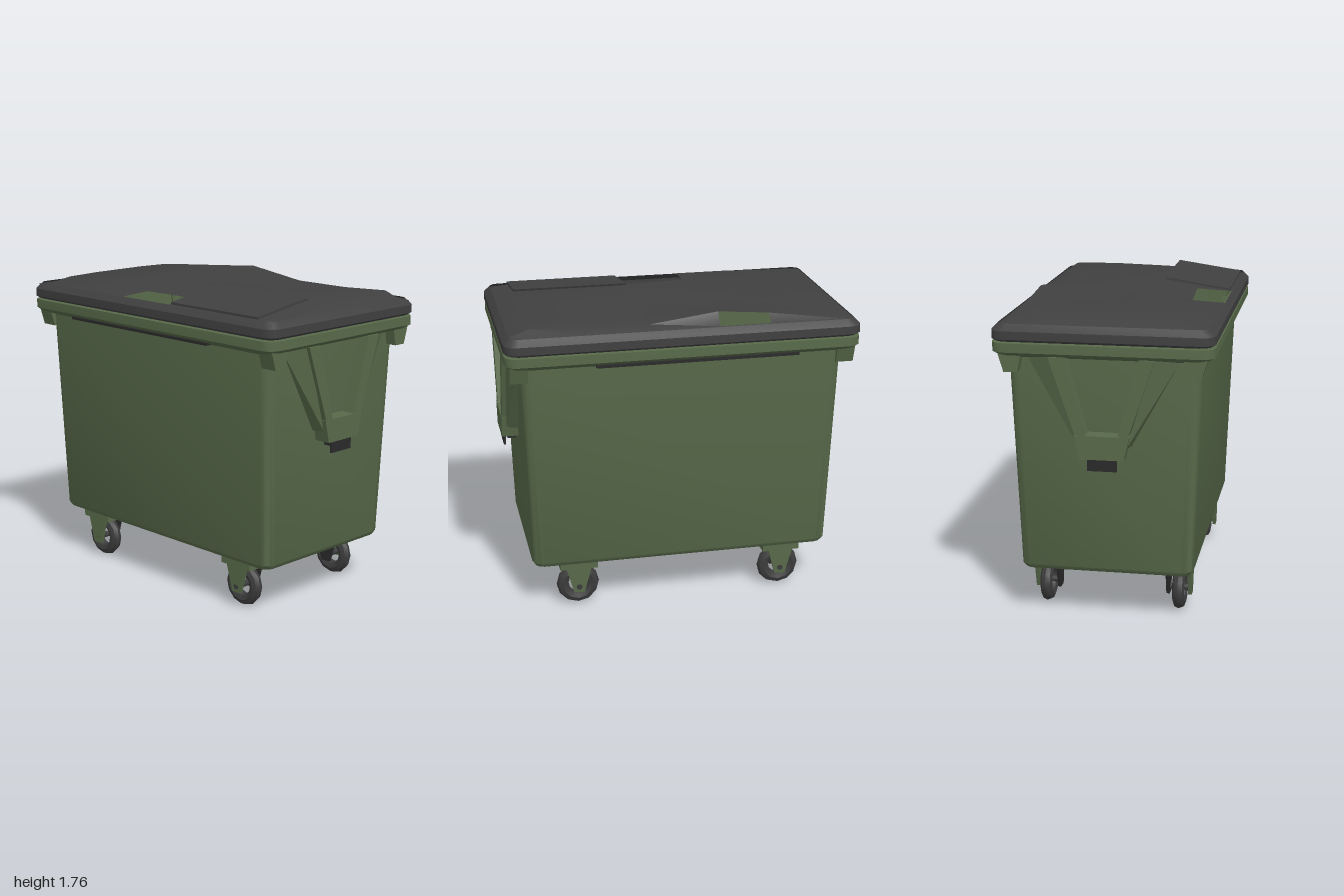
import * as THREE from 'three';
import { toCreasedNormals } from 'three/addons/utils/BufferGeometryUtils.js';

const mat = (name, color, side = THREE.FrontSide) => {
  const m = new THREE.MeshStandardMaterial({ color, side });
  m.name = name;
  return m;
};

// Rounded rectangle ring, counterclockwise from above
function ring(hx, hz, y, r, seg = 3) {
  const pts = [];
  [[1, -1], [-1, -1], [-1, 1], [1, 1]].forEach(([sx, sz], q) => {
    for (let i = 0; i <= seg; i++) {
      const a = (q + i / seg) * Math.PI / 2;
      pts.push([sx * (hx - r) + r * Math.cos(a), y, sz * (hz - r) - r * Math.sin(a)]);
    }
  });
  return pts;
}

// Skin over stacked rings, with optional flat ends
function loft(rings, capStart, capEnd) {
  const n = rings[0].length, pos = rings.flat(2), idx = [];
  for (let j = 0; j < rings.length - 1; j++) {
    for (let i = 0; i < n; i++) {
      const a = j * n + i, b = j * n + (i + 1) % n;
      idx.push(a, b, a + n, b, b + n, a + n);
    }
  }
  const e = (rings.length - 1) * n;
  for (let i = 1; i < n - 1; i++) {
    if (capStart) idx.push(0, i + 1, i);
    if (capEnd) idx.push(e, e + i, e + i + 1);
  }
  return surface(pos, idx);
}

function surface(pos, idx, crease = 0.6) {
  const g = new THREE.BufferGeometry();
  g.setAttribute('position', new THREE.Float32BufferAttribute(pos, 3));
  g.setIndex(idx);
  return toCreasedNormals(g, crease);
}

// Outline in the xy plane, extruded from z0 to z1
function slab(points, z0, z1) {
  const s = new THREE.Shape(points.map(p => new THREE.Vector2(...p)));
  return new THREE.ExtrudeGeometry(s, { depth: z1 - z0, bevelEnabled: false }).translate(0, 0, z0);
}

export function createModel() {
  const root = new THREE.Group();
  root.name = 'wasteContainer';
  const green = mat('green plastic', 0x586a4a);
  const greenSheet = mat('green sheet', 0x586a4a, THREE.DoubleSide);
  const lidMat = mat('dark grey lid', 0x404040, THREE.DoubleSide);
  const rubber = mat('dark rubber', 0x3c3c3d);
  const black = mat('black fittings', 0x2a2a2a);

  const add = (parent, name, geo, material, x = 0, y = 0, z = 0) => {
    const m = new THREE.Mesh(geo, material);
    m.name = name;
    m.position.set(x, y, z);
    parent.add(m);
    return m;
  };
  const box = (w, h, d) => new THREE.BoxGeometry(w, h, d);

  // Hollow tapered tub with a flared rim
  add(root, 'tub', loft([
    ring(0.465, 0.855, 0.285, 0.05), ring(0.482, 0.872, 0.31, 0.06),
    ring(0.525, 0.908, 1.5, 0.06), ring(0.57, 0.97, 1.52, 0.06),
    ring(0.598, 0.997, 1.54, 0.07), ring(0.598, 0.997, 1.59, 0.07),
    ring(0.505, 0.885, 1.592, 0.05), ring(0.465, 0.855, 0.33, 0.05),
  ], true, true), green);

  // Dark grip strips under the rim
  for (const s of [-1, 1]) add(root, 'gripStrip', box(0.06, 0.016, 1.14), black, s * 0.55, 1.512, -0.07);

  // Dark panel under the floor
  const panel = new THREE.Shape([[0.41, 0.1], [0.3, -0.17], [0.13, -0.32], [-0.25, -0.3],
    [-0.42, -0.22], [-0.4, 0.1], [0, 0.25]].map(p => new THREE.Vector2(...p)));
  add(root, 'floorPanel', new THREE.ShapeGeometry(panel).rotateX(Math.PI / 2), black, 0, 0.282, 0);

  // Lid skirt with bevelled shoulder
  add(root, 'lidSkirt', loft([
    ring(0.585, 0.985, 1.597, 0.07), ring(0.6, 1, 1.61, 0.07),
    ring(0.6, 1, 1.655, 0.07), ring(0.565, 0.965, 1.69, 0.05),
  ]), lidMat);

  // Uneven lid top with a large opening and a narrow slot
  const xs = [-0.57, -0.38, -0.17, 0, 0.2, 0.4, 0.5, 0.55, 0.57];
  const zs = [-0.97, -0.9, -0.48, -0.19, 0.19, 0.55, 0.85, 0.97];
  const heights = [
    [68, 68, 68, 68, 68, 68, 68, 68, 68],
    [68, 71, 715, 715, 715, 71, 70, 69, 68],
    [69, 715, 72, 725, 725, 73, 735, 69, 68],
    [69, 70, 71, 71, 70, 745, 76, 69, 68],
    [69, 70, 725, 73, 725, 715, 71, 69, 68],
    [69, 70, 725, 73, 715, 715, 71, 69, 68],
    [68, 70, 72, 725, 73, 73, 725, 69, 68],
    [67, 68, 68, 68, 68, 68, 68, 68, 67],
  ];
  const pos = [], idx = [], nx = xs.length;
  zs.forEach((z, j) => xs.forEach((x, i) => {
    const h = heights[j][i];
    const skew = i === 1 && j === 4 ? 0.02 : 0;
    pos.push(x + skew, 1 + (h > 99 ? h / 1000 : h / 100), z);
  }));
  for (let j = 0; j < zs.length - 1; j++) {
    for (let i = 0; i < nx - 1; i++) {
      if ((i === 0 && j === 3) || (i === 6 && j === 2)) continue;
      const a = j * nx + i, c = a + nx;
      idx.push(a, c, a + 1, a + 1, c, c + 1);
    }
  }
  add(root, 'lidTop', surface(pos, idx, 0.5), lidMat);

  // Tilted hatch leaf beside the opening
  add(root, 'hatchLeaf', slab([[-0.555, 1.69], [-0.17, 1.748], [-0.165, 1.76], [-0.555, 1.703]], 0.2, 0.86), lidMat);

  // Lifting trunnions at both ends
  for (const end of [0, 1]) {
    const g = new THREE.Group();
    g.name = 'liftingMount';
    g.rotation.y = end * Math.PI;
    root.add(g);
    for (const s of [-1, 1]) {
      const arm = [[0.085, 1.09], [0.14, 1.09], [0.285, 1.52], [0.2, 1.52]].map(([x, y]) => [x * s, y]);
      add(g, 'mountArm', slab(arm, 0.9, 0.985), green);
      // Web from the arm back to the tub wall
      const web = [0.13, 1.03, 0.96, 0.275, 1.52, 0.965, 0.42, 1.52, 0.905, 0.15, 1.03, 0.892]
        .map((v, i) => i % 3 ? v : v * s);
      add(g, 'mountWeb', surface(web, [0, 2, 1, 0, 3, 2]), greenSheet);
      // Stiffener under the rim corner
      const stiff = [[0.455, 1.43], [0.53, 1.43], [0.56, 1.53], [0.435, 1.53]].map(([x, y]) => [x * s, y]);
      add(g, 'rimStiffener', slab(stiff, 0.87, 0.97), green);
    }
    add(g, 'trunnionBlock', slab([[-0.12, 0.97], [0.12, 0.97], [0.15, 1.1], [-0.15, 1.1]], 0.88, 0.988), green);
    add(g, 'trunnionSocket', box(0.12, 0.04, 0.05), black, 0, 0.955, 0.925);
    add(g, 'trunnionPlate', box(0.16, 0.07, 0.012), black, 0, 0.938, 0.968);
  }

  // Four swivel casters, mirrored to each corner
  const legPts = [[-0.075, 0.25], [-0.03, 0.09], [0.03, 0.09], [0.075, 0.25]];
  for (const sx of [-1, 1]) {
    for (const sz of [-1, 1]) {
      const c = new THREE.Group();
      c.name = 'caster';
      c.position.set(sx * 0.38, 0, sz * 0.605);
      root.add(c);
      const tyre = toCreasedNormals(new THREE.TorusGeometry(0.09, 0.035, 8, 12).rotateY(Math.PI / 2), 0.5);
      add(c, 'tyre', tyre, rubber, 0, 0.125, 0);
      add(c, 'axle', new THREE.CylinderGeometry(0.018, 0.018, 0.14, 8).rotateZ(Math.PI / 2), rubber, 0, 0.125, 0);
      const leg = () => slab(legPts, -0.01, 0.01).rotateY(Math.PI / 2);
      add(c, 'outerForkLeg', leg(), green, sx * 0.06, 0, 0);
      add(c, 'innerForkLeg', leg(), black, -sx * 0.065, 0, 0);
      add(c, 'forkHead', box(0.15, 0.045, 0.22), green, 0, 0.266, 0);
      // Mounting plate reaching in under the floor
      const plate = [[-0.06, 0.245], [0.1, 0.238], [0.24, 0.265], [0.24, 0.288], [-0.06, 0.288]]
        .map(([x, y]) => [-x * sx, y]);
      add(c, 'mountingPlate', slab(plate, -0.1, 0.1), black);
    }
  }
  return root;
}
